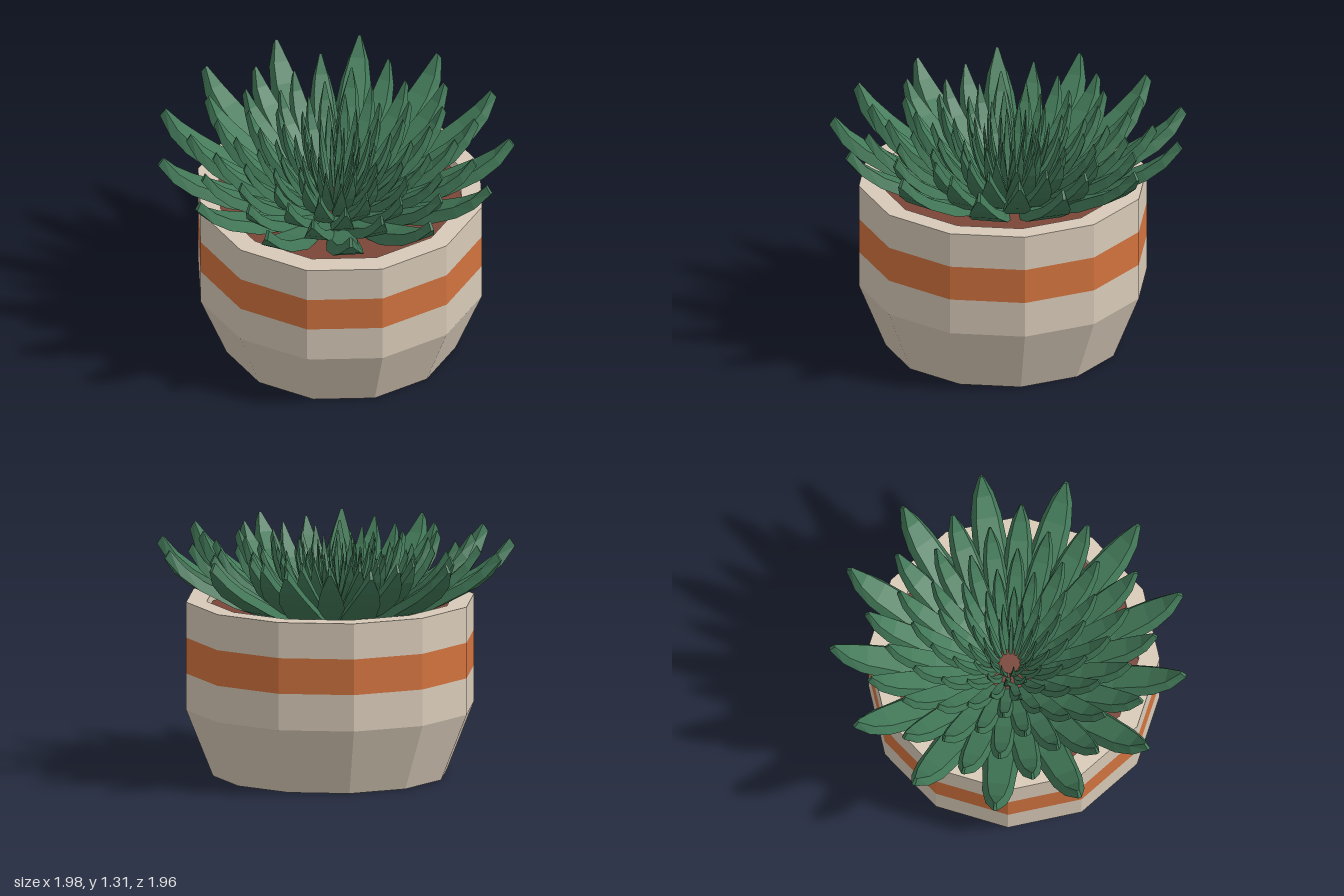
import * as THREE from 'three';

const potMat = new THREE.MeshStandardMaterial({ color: 0xd8cab8 });
potMat.name = 'cream ceramic';
const bandMat = new THREE.MeshStandardMaterial({ color: 0xd2733f });
bandMat.name = 'orange glaze';
const soilMat = new THREE.MeshStandardMaterial({ color: 0x7a4638 });
soilMat.name = 'brown soil';
const leafMat = new THREE.MeshStandardMaterial({ color: 0x427858 });
leafMat.name = 'leaf green';

const POT_SIDES = 12;
const LEAVES_PER_RING = 13;

// Gives every face its own normal, for a faceted look
function faceted(geometry) {
  const flat = geometry.index ? geometry.toNonIndexed() : geometry;
  flat.computeVertexNormals();
  return flat;
}

function turned(name, profile, material) {
  const points = profile.map(([r, y]) => new THREE.Vector2(r, y));
  const mesh = new THREE.Mesh(faceted(new THREE.LatheGeometry(points, POT_SIDES)), material);
  mesh.name = name;
  return mesh;
}

// Thick, upward-curving leaf along +z, narrower on its upper face
function leafGeometry() {
  // [reach, height, half width, upper reach, upper height]
  const sections = [
    [0.05, 0.84, 0.015, 0.03, 0.88],
    [0.35, 0.88, 0.075, 0.33, 0.93],
    [0.62, 0.98, 0.1, 0.59, 1.03],
    [0.82, 1.09, 0.085, 0.785, 1.135],
    [0.92, 1.17, 0.058, 0.885, 1.212],
    [0.995, 1.265, 0.01, 0.965, 1.31],
  ];
  const positions = [];
  const index = [];
  sections.forEach(([z, y, w, zTop, yTop], i) => {
    const wTop = w * 0.7;
    positions.push(-w, y, z, w, y, z, wTop, yTop, zTop, -wTop, yTop, zTop);
    if (i === 0) return;
    const a = (i - 1) * 4, b = i * 4;
    for (let k = 0; k < 4; k++) {
      const n = (k + 1) % 4;
      index.push(a + k, a + n, b + n, a + k, b + n, b + k);
    }
  });
  const tip = (sections.length - 1) * 4;
  index.push(tip, tip + 1, tip + 2, tip, tip + 2, tip + 3);
  const geometry = new THREE.BufferGeometry();
  geometry.setAttribute('position', new THREE.Float32BufferAttribute(positions, 3));
  geometry.setIndex(index);
  return faceted(geometry);
}

export function createModel() {
  const model = new THREE.Group();
  model.name = 'pottedSucculent';

  // Pot: tapered foot, painted band, thick rim, soil
  const pot = new THREE.Group();
  pot.name = 'pot';
  pot.position.z = 0.055;
  pot.add(
    turned('potBody', [[0, 0], [0.655, 0], [0.805, 0.375], [0.805, 0.58]], potMat),
    turned('paintedBand', [[0.805, 0.58], [0.805, 0.78]], bandMat),
    turned('potRim', [[0.805, 0.78], [0.805, 0.98], [0.69, 0.98], [0.69, 0.88]], potMat),
    turned('soil', [[0.69, 0.92], [0, 0.92]], soilMat),
  );
  model.add(pot);

  // Rosette: rings of leaves, each turned half a step from the last
  const rosette = new THREE.Group();
  rosette.name = 'rosette';
  rosette.position.z = 0.01;
  const leafShape = leafGeometry();
  const step = (Math.PI * 2) / LEAVES_PER_RING;
  const ringReach = [1, 0.82, 0.69, 0.56, 0.44, 0.33, 0.23, 0.15];
  ringReach.forEach((reach, ring) => {
    const group = new THREE.Group();
    group.name = `leafRing${ring + 1}`;
    const rise = 1 - ring * 0.004;
    for (let k = 0; k < LEAVES_PER_RING; k++) {
      const leaf = new THREE.Mesh(leafShape, leafMat);
      leaf.name = 'leaf';
      leaf.scale.set(reach, rise, reach);
      leaf.rotation.y = Math.PI + (k + (ring % 2) / 2) * step;
      group.add(leaf);
    }
    rosette.add(group);
  });
  model.add(rosette);

  return model;
}
